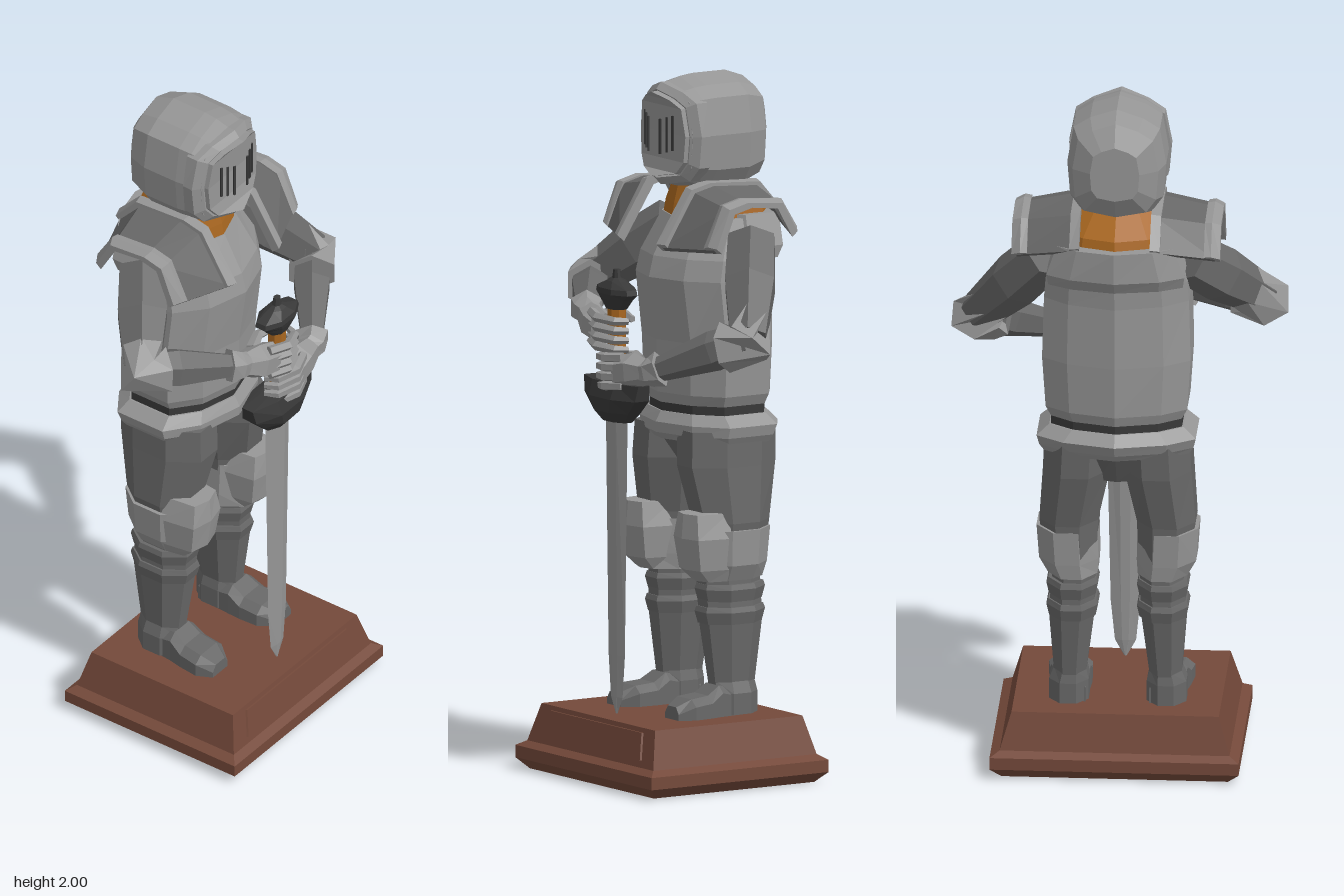
import * as THREE from 'three';

const mat = (name, color) => {
  const m = new THREE.MeshStandardMaterial({ color });
  m.name = name;
  return m;
};
const V = (x, y, z) => new THREE.Vector3(x, y, z);

// Closed faceted solid through rings of equal point count; winding is made outward
function loft(rings) {
  const tris = [], n = rings[0].length;
  const quad = (a, b, c, d) => tris.push([a, b, c], [a, c, d]);
  for (let i = 0; i < rings.length - 1; i++)
    for (let j = 0; j < n; j++) {
      const k = (j + 1) % n;
      quad(rings[i][j], rings[i + 1][j], rings[i + 1][k], rings[i][k]);
    }
  const a = rings[0], b = rings[rings.length - 1];
  for (let i = 0; i + 1 <= n - 2 - i; i++) {
    quad(a[i], a[i + 1], a[n - 2 - i], a[n - 1 - i]);
    quad(b[n - 1 - i], b[n - 2 - i], b[i + 1], b[i]);
  }
  let vol = 0;
  for (const [p, q, r] of tris) vol += p.dot(q.clone().cross(r));
  const pts = tris.flatMap(([p, q, r]) => (vol < 0 ? [p, r, q] : [p, q, r]));
  const g = new THREE.BufferGeometry().setFromPoints(pts);
  g.computeVertexNormals();
  return g;
}

// Horizontal octagon section
const oct = (y, cx, rx, cz, rz) => Array.from({ length: 8 }, (_, i) => {
  const t = (i + 0.5) * Math.PI / 4, k = 1 / Math.cos(Math.PI / 8);
  return V(cx + Math.cos(t) * rx * k, y, cz + Math.sin(t) * rz * k);
});
// Horizontal body section with a centre ridge front and back
const body = (y, w, zf, zb) => {
  const d = zf - zb;
  const half = [[0, zf], [w * 0.6, zf - d * 0.1], [w, zf - d * 0.3], [w, zb + d * 0.25], [w * 0.65, zb + d * 0.1], [0, zb]];
  return [...half, ...half.slice(1, 5).reverse().map(([x, z]) => [-x, z])].map(([x, z]) => V(x, y, z));
};
const rect = (y, hx, hz, cz) => [V(hx, y, cz + hz), V(-hx, y, cz + hz), V(-hx, y, cz - hz), V(hx, y, cz - hz)];

// Faceted tube through points with a radius at each
function limb(points, radii, n = 6) {
  return loft(points.map((p, i) => {
    const t = points[Math.min(i + 1, points.length - 1)].clone().sub(points[Math.max(i - 1, 0)]).normalize();
    const u = V(0, 1, 0).cross(t).normalize(), w = t.clone().cross(u);
    return Array.from({ length: n }, (_, j) => {
      const a = (j + 0.5) * 2 * Math.PI / n;
      return p.clone().addScaledVector(u, Math.cos(a) * radii[i]).addScaledVector(w, Math.sin(a) * radii[i]);
    });
  }));
}

export function createModel() {
  const steel = mat('steel', 0x969696), dark = mat('dark steel', 0x686868), iron = mat('black iron', 0x383838);
  const wood = mat('wood', 0x74493a), leather = mat('orange leather', 0xa8661f);
  const root = new THREE.Group();
  root.name = 'armouredKnight';
  const add = (name, geo, material, parent = root) => {
    const m = new THREE.Mesh(geo, material);
    m.name = name;
    parent.add(m);
    return m;
  };
  const group = (name) => {
    const g = new THREE.Group();
    g.name = name;
    root.add(g);
    return g;
  };

  // Plinth
  add('plinth', loft([[0, 0.32, 0.27], [0.03, 0.352, 0.298], [0.065, 0.352, 0.298], [0.08, 0.325, 0.275], [0.188, 0.293, 0.248]]
    .map(([y, x, z]) => rect(y, x, z, 0.007))), wood);
  const panel = (off, grow) => [[-0.26, 0.1], [0.26, 0.1], [0.24, 0.175], [-0.24, 0.175]]
    .map(([x, y]) => V(x * grow, y, 0.282 - (y - 0.08) * 0.25 + off));
  add('plinthPanel', loft([panel(-0.004, 1), panel(0.005, 0.98)]), wood);

  // Torso
  add('breastplate', loft([body(1.07, 0.185, 0.045, -0.26), body(1.1, 0.2, 0.055, -0.27), body(1.25, 0.21, 0.06, -0.275),
    body(1.43, 0.205, 0.085, -0.275), body(1.49, 0.2, 0.07, -0.28), body(1.6, 0.16, 0.01, -0.3)]), steel);
  add('backRidge', loft([body(1.485, 0.19, -0.05, -0.283), body(1.52, 0.195, -0.05, -0.303), body(1.61, 0.165, -0.06, -0.305)]), steel);
  add('collar', loft([body(1.58, 0.15, 0.01, -0.285), body(1.635, 0.14, 0.0, -0.27), body(1.71, 0.085, -0.02, -0.18)]), leather);
  add('belt', loft([body(1.03, 0.185, 0.04, -0.255), body(1.085, 0.185, 0.04, -0.255)]), iron);
  add('hipBand', loft([body(0.965, 0.205, 0.04, -0.26), body(0.985, 0.218, 0.06, -0.275), body(1.015, 0.225, 0.062, -0.288),
    body(1.045, 0.19, 0.045, -0.26)]), steel);
  add('pelvis', loft([body(0.87, 0.08, -0.04, -0.18), body(0.98, 0.19, 0.03, -0.245)]), dark);

  // Helmet: outline swept front to back
  const outline = [[0, 2], [0.075, 1.975], [0.122, 1.945], [0.14, 1.84], [0.132, 1.74], [0.1, 1.695], [0, 1.675]];
  const full = [...outline, ...outline.slice(1, 6).reverse().map(([x, y]) => [-x, y])];
  const slice = (k, z, bend = 0, ky = k) => full.map(([x, y]) => V(x * k, 1.84 + (y - 1.84) * ky, z - bend * Math.abs(x * k)));
  const helmet = group('helmet');
  add('skull', loft([slice(0.9, 0.02), slice(0.97, -0.02), slice(1, -0.06), slice(1, -0.17), slice(0.87, -0.23), slice(0.5, -0.265)]), steel, helmet);
  add('visorRim', loft([slice(1.03, -0.03, 0, 0.9), slice(1.04, 0.045, 0.3, 0.9), slice(0.86, 0.06, 0.3, 0.78)]), steel, helmet);
  add('visor', loft([slice(0.84, 0, 0, 0.76), slice(0.82, 0.077, 0.35, 0.74)]), steel, helmet);
  for (const x of [-0.072, -0.052, -0.03, 0.03, 0.052, 0.072]) {
    const slit = add('visorSlit', new THREE.BoxGeometry(0.007, 0.1, 0.004), iron, helmet);
    slit.position.set(x, 1.825 + Math.abs(x) * 0.3, 0.077 - 0.35 * Math.abs(x));
    slit.rotation.y = Math.sign(x) * Math.atan(0.35);
  }

  // Pauldron profiles [z, y], inner and outer ends
  const inner = [[0.115, 1.53], [0.015, 1.685], [-0.05, 1.7], [-0.2, 1.69], [-0.275, 1.61]];
  const outer = [[0.045, 1.54], [0, 1.65], [-0.06, 1.665], [-0.17, 1.655], [-0.22, 1.57]];
  const pauldronRing = (s, x, lift) => {
    const t = (x - 0.1) / 0.19;
    const mid = inner.map(([z, y], i) => [z + (outer[i][0] - z) * t, y + (outer[i][1] - y) * t]);
    const offset = (d) => mid.map(([z, y]) => V(s * x, y + d * 0.7, z + Math.sign(z + 0.08) * d * 0.8));
    return [...offset(lift), ...offset(-0.015).reverse()];
  };
  // Shin and foot sections are mirrored by s
  const elbows = { 1: V(0.405, 1.3, 0.015), '-1': V(-0.4, 1.37, 0.015) };
  const wrists = { 1: V(0.17, 1.19, 0.19), '-1': V(-0.17, 1.32, 0.185) };

  for (const s of [1, -1]) {
    const side = s > 0 ? 'left' : 'right';
    const sh = group(side + 'Pauldron');
    add('shoulderPlate', loft([pauldronRing(s, 0.11, 0), pauldronRing(s, 0.28, 0)]), dark, sh);
    add('innerRim', loft([pauldronRing(s, 0.1, 0.014), pauldronRing(s, 0.128, 0.014)]), steel, sh);
    add('outerRim', loft([pauldronRing(s, 0.25, 0.006), pauldronRing(s, 0.27, 0.014), pauldronRing(s, 0.295, 0.006)]), steel, sh);

    // Arm
    const arm = group(side + 'Arm'), e = elbows[s], w = wrists[s], shoulder = V(s * 0.2, 1.54, -0.13);
    add('upperArm', limb([shoulder, shoulder.clone().lerp(e, 0.45), e], [0.075, 0.08, 0.058]), dark, arm);
    add('forearm', limb([e, e.clone().lerp(w, 0.35), w], [0.05, 0.058, 0.032]), dark, arm);
    add('elbowGuard', limb([shoulder.clone().lerp(e, 0.74), e.clone().add(V(s * 0.005, -0.01, 0)), e.clone().lerp(w, 0.24)],
      [0.066, 0.078, 0.074]), steel, arm);

    // Gauntlet gripping the hilt
    const hand = group(side + 'Hand'), hy = s > 0 ? 1.175 : 1.285;
    add('cuff', limb([w.clone().lerp(e, 0.1), w, w.clone().lerp(V(s * 0.06, hy, 0.19), 0.3)], [0.052, 0.042, 0.036]), steel, hand);
    add('palm', limb([w, V(s * 0.1, hy + 0.01, 0.195), V(s * 0.045, hy, 0.205)], [0.032, 0.052, 0.048]), steel, hand);
    for (let i = 0; i < 4; i++) {
      const y = hy + 0.042 - i * 0.027;
      add('finger', limb([V(s * 0.08, y + 0.005, 0.225), V(s * 0.02, y, 0.247), V(-s * 0.04, y - 0.006, 0.225), V(-s * 0.055, y - 0.008, 0.19)],
        [0.015, 0.015, 0.013, 0.01], 5), steel, hand);
    }
    add('thumb', limb([V(s * 0.09, hy + 0.035, 0.17), V(s * 0.03, hy + 0.04, 0.148), V(-s * 0.03, hy + 0.035, 0.16)], [0.018, 0.016, 0.01], 5), steel, hand);

    // Leg
    const leg = group(side + 'Leg');
    const stack = (name, rows, m) => add(name, loft(rows.map(([y, cx, rx, cz, rz]) => oct(y, s * cx, rx, cz, rz))), m, leg);
    stack('thigh', [[1, 0.11, 0.095, -0.105, 0.14], [0.9, 0.115, 0.095, -0.1, 0.14], [0.74, 0.138, 0.083, -0.1, 0.108], [0.6, 0.13, 0.07, -0.1, 0.095]], dark);
    stack('kneePlate', [[0.575, 0.127, 0.07, -0.095, 0.1], [0.62, 0.138, 0.084, -0.095, 0.105], [0.72, 0.143, 0.086, -0.095, 0.112]], steel);
    add('kneecap', loft([[0.575, 0.055, 0.02], [0.61, 0.07, 0.055], [0.7, 0.08, 0.068], [0.77, 0.062, 0.062], [0.772, 0.055, 0.02]].map(([y, h, z]) =>
      [V(s * 0.143 - h, y, -0.05), V(s * 0.143 - h * 0.8, y, z - 0.015), V(s * 0.143, y, z), V(s * 0.143 + h * 0.8, y, z - 0.015), V(s * 0.143 + h, y, -0.05)])), steel, leg);
    stack('shin', [[0.6, 0.123, 0.06, -0.1, 0.09], [0.46, 0.13, 0.064, -0.105, 0.09], [0.27, 0.135, 0.045, -0.105, 0.065]], dark);
    for (const y of [0.47, 0.535])
      stack('shinBand', [[y - 0.022, 0.128, 0.066, -0.104, 0.09], [y + 0.012, 0.128, 0.073, -0.104, 0.099], [y + 0.027, 0.128, 0.068, -0.104, 0.094]], dark);
    stack('ankle', [[0.19, 0.138, 0.056, -0.105, 0.07], [0.25, 0.138, 0.056, -0.105, 0.07], [0.285, 0.135, 0.045, -0.105, 0.064]], dark);
    add('shoe', loft([[-0.15, 0.135, 0.045, 0.25], [-0.04, 0.137, 0.055, 0.275], [0, 0.14, 0.06, 0.25], [0.06, 0.145, 0.062, 0.245], [0.105, 0.15, 0.035, 0.225]]
      .map(([z, cx, h, top]) => [[-h, 0.188], [-h, top - 0.02], [-h * 0.6, top], [h * 0.6, top], [h, top - 0.02], [h, 0.188]]
        .map(([x, y]) => V(s * cx + x, y, z)))), dark, leg);
  }

  // Sword held point down
  const sword = group('sword'), sz = 0.193;
  add('blade', loft([[0.192, 0.004, 0.002], [0.24, 0.03, 0.006], [0.36, 0.042, 0.008], [1.05, 0.056, 0.015]].map(([y, h, t]) =>
    [V(h, y, sz), V(h * 0.3, y, sz + t), V(-h * 0.3, y, sz + t), V(-h, y, sz), V(-h * 0.3, y, sz - t), V(h * 0.3, y, sz - t)])), steel, sword);
  const turned = (name, rows, m) => add(name, loft(rows.map(([y, rx, rz]) => oct(y, 0, rx, sz, rz))), m, sword);
  turned('guard', [[1.03, 0.06, 0.03], [1.06, 0.09, 0.052], [1.1, 0.13, 0.058], [1.145, 0.14, 0.045], [1.15, 0.06, 0.03]], iron);
  turned('grip', [[1.12, 0.026, 0.024], [1.37, 0.026, 0.024]], leather);
  turned('pommel', [[1.35, 0.035, 0.026], [1.38, 0.06, 0.038], [1.395, 0.08, 0.042], [1.41, 0.076, 0.04], [1.43, 0.03, 0.024], [1.438, 0.014, 0.012], [1.462, 0.01, 0.009]], iron);
  return root;
}
